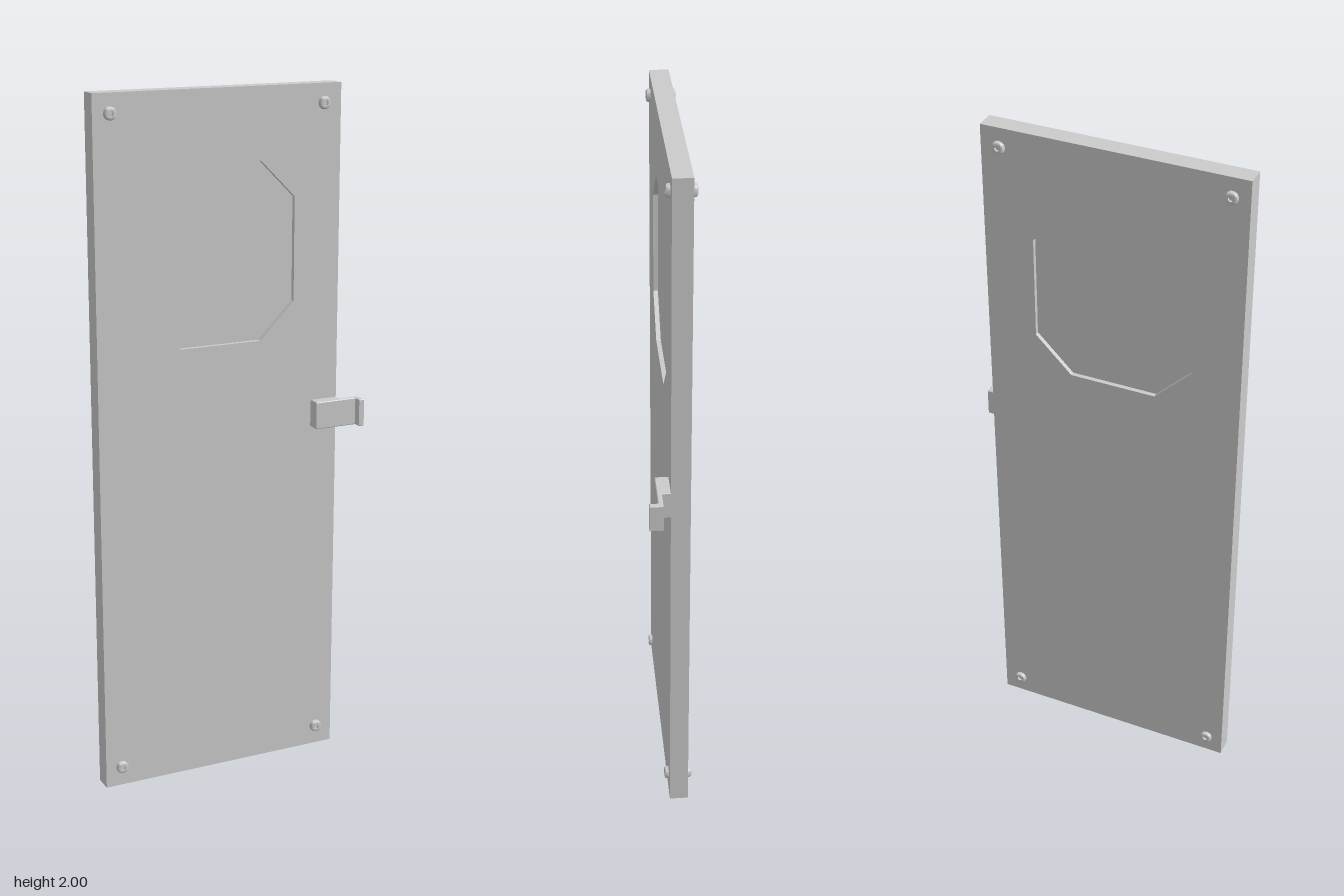
import * as THREE from 'three';
import { toCreasedNormals } from 'three/addons/utils/BufferGeometryUtils.js';

const material = new THREE.MeshStandardMaterial({ color: 0xcccccc });

function addPart(parent, name, geometry) {
  const mesh = new THREE.Mesh(geometry, material);
  mesh.name = name;
  parent.add(mesh);
  return mesh;
}

// Octagonal outline: a rectangle with its corners cut off
function octagon(Type, x0, x1, y0, y1, cut) {
  return new Type([
    [x0 + cut, y0], [x1 - cut, y0], [x1, y0 + cut], [x1, y1 - cut],
    [x1 - cut, y1], [x0 + cut, y1], [x0, y1 - cut], [x0, y0 + cut],
  ].map(([x, y]) => new THREE.Vector2(x, y)));
}

export function createModel() {
  const model = new THREE.Group();
  model.name = 'door';
  const front = 0.002, back = -0.052;

  // Door slab with an octagonal opening
  const slab = new THREE.Shape();
  slab.moveTo(-0.4, 0).lineTo(0.34, 0).lineTo(0.34, 2).lineTo(-0.4, 2).closePath();
  slab.holes.push(octagon(THREE.Path, -0.26, 0.198, 1.29, 1.797, 0.105));
  addPart(model, 'doorSlab', new THREE.ExtrudeGeometry(slab, { depth: front - back, bevelEnabled: false }))
    .position.z = back;

  // Window panel, recessed on both sides
  const pane = octagon(THREE.Shape, -0.26, 0.198, 1.29, 1.797, 0.105);
  addPart(model, 'windowPanel', new THREE.ExtrudeGeometry(pane, { depth: 0.028, bevelEnabled: false }))
    .position.z = -0.039;

  // Bolt heads with a rounded rim and a hexagonal socket
  const profile = [[0.018, 0], [0.018, 0.006], [0.0165, 0.01], [0.013, 0.012], [0.009, 0.012]]
    .map(([r, h]) => new THREE.Vector2(r, h));
  const head = toCreasedNormals(new THREE.LatheGeometry(profile, 24), 0.7).rotateX(Math.PI / 2);
  const socketRim = new THREE.Shape().absarc(0, 0, 0.0095, 0, Math.PI * 2);
  const hexagon = [];
  for (let i = 0; i < 6; i++) {
    const a = i * Math.PI / 3;
    hexagon.push(new THREE.Vector2(0.0075 * Math.cos(a), 0.0075 * Math.sin(a)));
  }
  socketRim.holes.push(new THREE.Path(hexagon));
  const socket = new THREE.ExtrudeGeometry(socketRim, { depth: 0.007, bevelEnabled: false, curveSegments: 12 })
    .translate(0, 0, 0.005);
  const socketFloor = new THREE.CircleGeometry(0.009, 12).translate(0, 0, 0.005);
  for (const x of [-0.351, 0.287]) {
    for (const y of [0.058, 1.946]) {
      for (const side of [1, -1]) {
        const bolt = new THREE.Group();
        bolt.name = side > 0 ? 'frontBolt' : 'backBolt';
        addPart(bolt, 'boltHead', head);
        addPart(bolt, 'boltSocket', socket);
        addPart(bolt, 'socketFloor', socketFloor);
        bolt.position.set(x, y, side > 0 ? front : back - 0.002);
        if (side < 0) bolt.rotation.y = Math.PI;
        model.add(bolt);
      }
    }
  }

  // Stepped latch handle, drawn in plan (x, -z) and extruded upwards
  const b = 0.002;
  const plan = new THREE.Shape([
    [0.257 + b, front + b], [0.257 + b, 0.04 - b], [0.384 + b, 0.04 - b], [0.384 + b, 0.064 - b],
    [0.4 - b, 0.064 - b], [0.4 - b, 0.026 + b], [0.34 - b, 0.026 + b], [0.34 - b, front + b],
  ].map(([x, z]) => new THREE.Vector2(x, -z)));
  const latch = new THREE.ExtrudeGeometry(plan, {
    depth: 0.08 - 2 * b, bevelSize: b, bevelThickness: b, bevelSegments: 1,
  });
  addPart(model, 'latchHandle', latch.rotateX(-Math.PI / 2)).position.y = 1.018 + b;

  return model;
}
